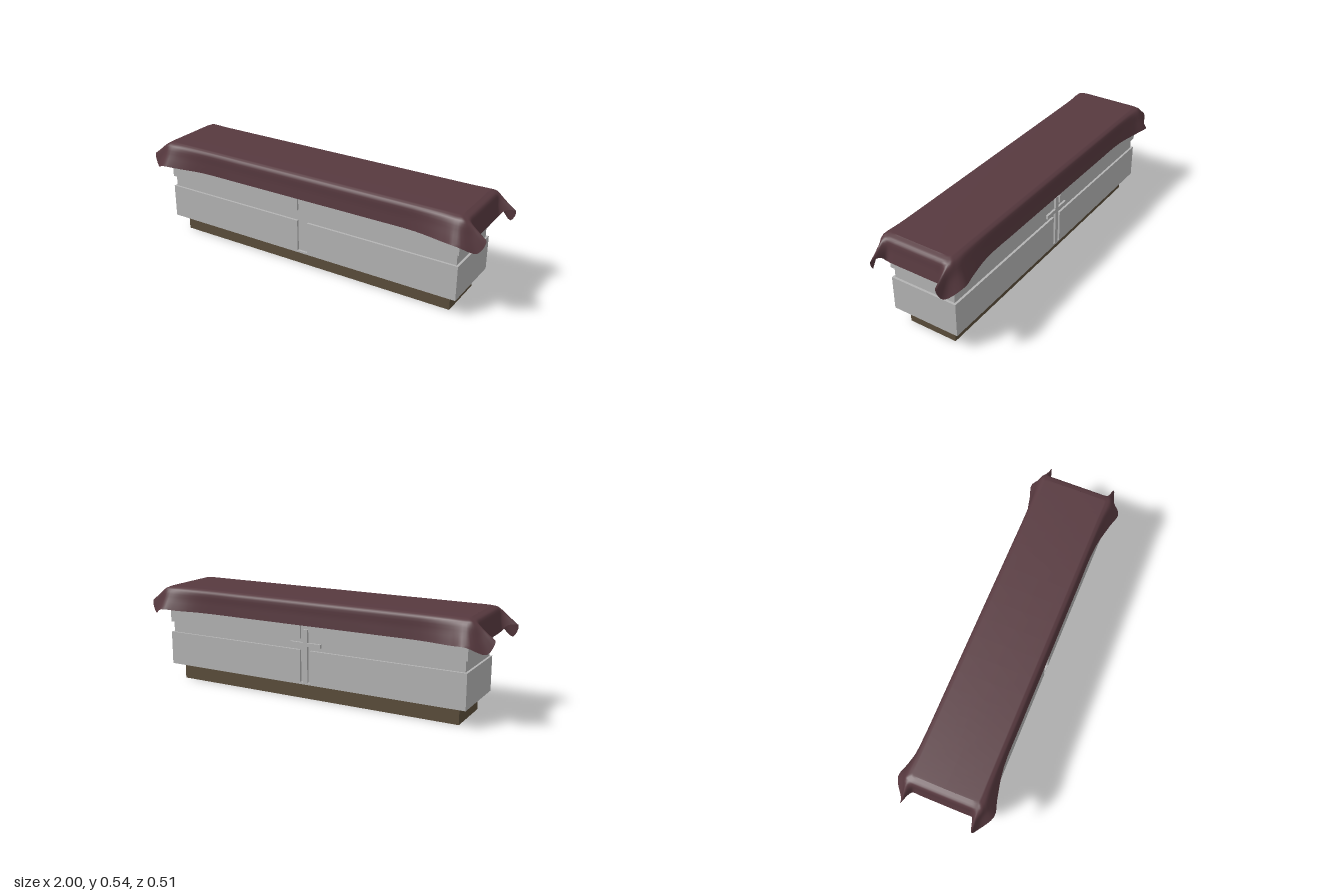
import * as THREE from 'three';

export function createModel() {
  const model = new THREE.Group();
  const stone = new THREE.MeshStandardMaterial({ color: 0xb4b4b4 });
  stone.name = 'grey stone';
  const wood = new THREE.MeshStandardMaterial({ color: 0x5a4d3a });
  wood.name = 'dark wood';
  const fabric = new THREE.MeshStandardMaterial({ color: 0x57393f, side: THREE.DoubleSide });
  fabric.name = 'plum cloth';

  const add = (name, geo, mat) => {
    const mesh = new THREE.Mesh(geo, mat);
    mesh.name = name;
    model.add(mesh);
    return mesh;
  };
  const rect = (Type, x, z) => {
    const p = new Type();
    p.moveTo(-x, -z).lineTo(x, -z).lineTo(x, z).lineTo(-x, z).closePath();
    return p;
  };
  // Upright extrusion of a plan shape between two heights
  const raise = (shape, y0, y1) =>
    new THREE.ExtrudeGeometry(shape, { depth: y1 - y0, bevelEnabled: false })
      .rotateX(-Math.PI / 2).translate(0, y0, 0);
  const ring = (x, z, hx, hz, y0, y1) => {
    const s = rect(THREE.Shape, x, z);
    s.holes.push(rect(THREE.Path, hx, hz));
    return raise(s, y0, y1);
  };

  // Hollow plinth, bottom lip and recessed core walls
  add('plinth', ring(0.827, 0.136, 0.823, 0.132, 0, 0.093), wood);
  add('bottomLip', ring(0.875, 0.187, 0.823, 0.132, 0.093, 0.104), stone);
  add('coreWalls', ring(0.863, 0.175, 0.855, 0.167, 0.1, 0.52), stone);
  add('topSlab', new THREE.BoxGeometry(1.75, 0.01, 0.374).translate(0, 0.516, 0), stone);

  // Raised C-shaped panels wrap each end, leaving a slot in the middle
  const wrap = new THREE.Shape([
    [0.03, 0.187], [0.03, 0.17], [0.858, 0.17], [0.858, -0.17],
    [0.03, -0.17], [0.03, -0.187], [0.875, -0.187], [0.875, 0.187],
  ].map(([x, z]) => new THREE.Vector2(x, z)));
  for (const [name, y0, y1] of [['lowerPanel', 0.1, 0.278], ['upperPanel', 0.337, 0.518]]) {
    for (const side of [0, 1]) {
      add(name + (side ? 'Right' : 'Left'), raise(wrap, y0, y1), stone).rotation.y = side * Math.PI;
    }
  }

  // Cross in the back slot
  add('crossPost', new THREE.BoxGeometry(0.026, 0.285, 0.014).translate(0, 0.245, -0.18), stone);
  add('crossArm', new THREE.BoxGeometry(0.18, 0.02, 0.0135).translate(0, 0.308, -0.18), stone);

  add('drapedCloth', clothGeometry(), fabric);
  return model;
}

// Cloth lofted from the flat top over the shoulder to a hem flaring at the corners
function clothGeometry() {
  // Quarter loops [x, y, z] from the front middle round to the end middle
  const top = [
    [0, 0.17], [0.4, 0.17], [0.62, 0.17], [0.77, 0.17], [0.845, 0.17], [0.86, 0.168],
    [0.866, 0.163], [0.869, 0.154], [0.87, 0.14], [0.87, 0.1], [0.87, 0],
  ].map(([x, z]) => [x, 0.541, z]);
  const shoulder = [
    [0, 0.195], [0.4, 0.195], [0.63, 0.195], [0.78, 0.197], [0.865, 0.202], [0.893, 0.197],
    [0.903, 0.182], [0.905, 0.165], [0.905, 0.148], [0.905, 0.11], [0.905, 0],
  ].map(([x, z]) => [x, 0.526, z]);
  const hem = [
    [0, 0.412, 0.203], [0.4, 0.412, 0.203], [0.65, 0.412, 0.206], [0.8, 0.414, 0.235],
    [0.885, 0.418, 0.255], [0.97, 0.384, 0.203], [1, 0.45, 0.184], [0.95, 0.446, 0.167],
    [0.928, 0.42, 0.154], [0.928, 0.418, 0.12], [0.928, 0.418, 0],
  ];
  const middle = shoulder.map((p, i) => p.map((v, k) => v * 0.5 + hem[i][k] * 0.5));

  // Mirror a quarter into a full closed loop
  const fullLoop = (q) => {
    const half = [...q, ...q.slice(0, -1).reverse().map(([x, y, z]) => [x, y, -z])];
    const other = half.slice(1, -1).reverse().map(([x, y, z]) => [-x, y, z]);
    return new THREE.CatmullRomCurve3(
      [...half, ...other].map((p) => new THREE.Vector3(...p)), true);
  };
  const loops = [top, shoulder, middle, hem].map(fullLoop);
  const columns = 40 * 4, rows = 12;
  const pos = [], index = [];
  for (let i = 0; i < columns; i++) {
    const pts = loops.map((c) => c.getPoint(i / columns));
    const drop = new THREE.CatmullRomCurve3(pts);
    pos.push(pts[0].x, pts[0].y, 0);
    for (let j = 0; j <= rows; j++) pos.push(...drop.getPoint(j / rows).toArray());
  }
  const n = rows + 2;
  for (let i = 0; i < columns; i++) {
    for (let j = 0; j < n - 1; j++) {
      const a = i * n + j, b = ((i + 1) % columns) * n + j;
      index.push(a, a + 1, b, b, a + 1, b + 1);
    }
  }
  const geo = new THREE.BufferGeometry();
  geo.setAttribute('position', new THREE.Float32BufferAttribute(pos, 3));
  geo.setIndex(index);
  geo.computeVertexNormals();
  return geo;
}
